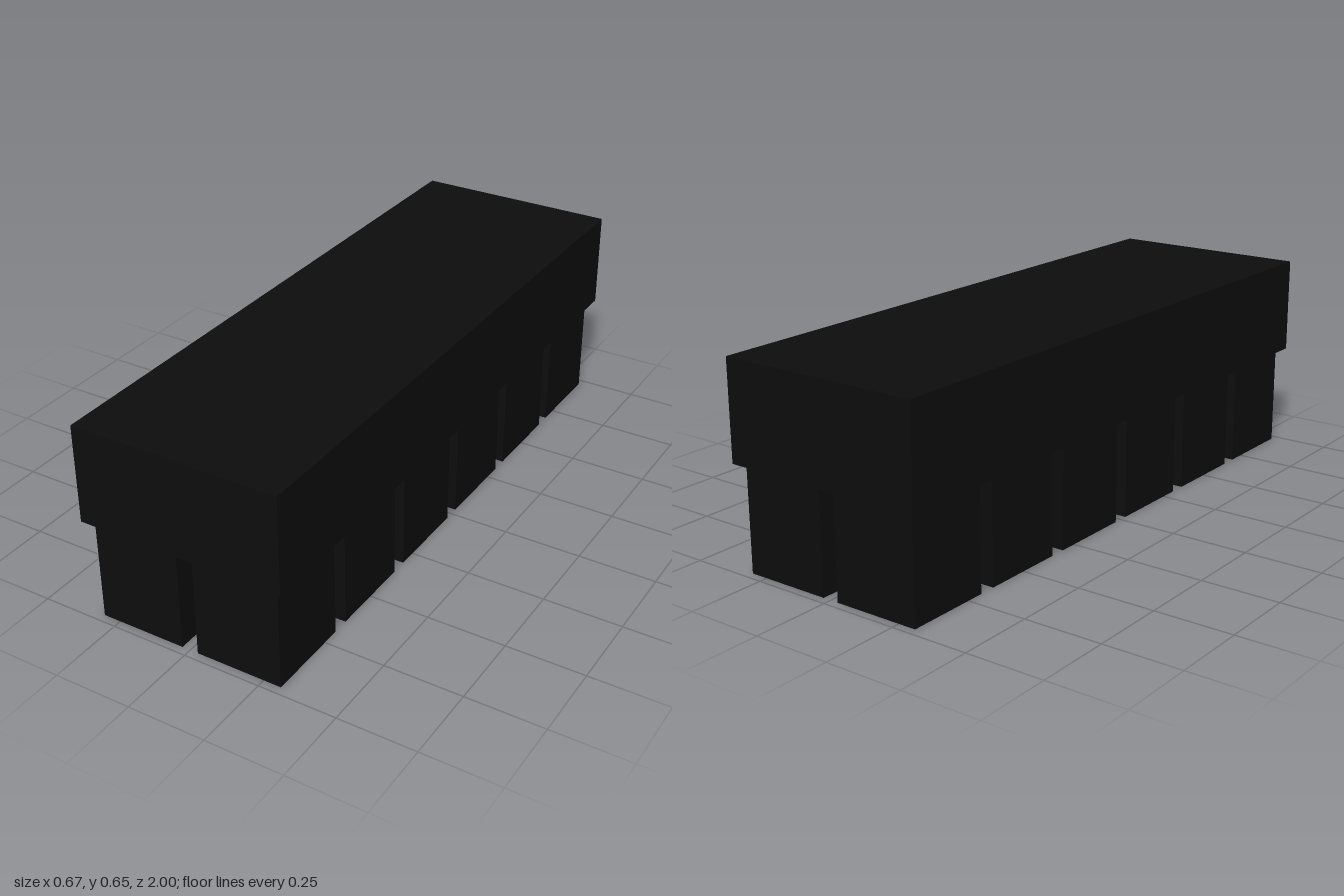
import * as THREE from 'three';

export function createModel() {
  const group = new THREE.Group();
  const black = new THREE.MeshStandardMaterial({ color: 0x0d0d0d });
  black.name = 'black plastic';

  const bottom = 0.335, top = 0.648, pitch = 1 / 3, blockSize = 0.28;

  // Solid upper housing
  const housing = new THREE.Mesh(
    new THREE.BoxGeometry(2 * pitch, top - bottom, 2), black);
  housing.name = 'housing';
  housing.position.y = (top + bottom) / 2;
  group.add(housing);

  // Two columns of six square blocks underneath
  const blocks = new THREE.Group();
  blocks.name = 'blocks';
  const blockGeometry = new THREE.BoxGeometry(blockSize, bottom, blockSize);
  for (let column = 0; column < 2; column++) {
    for (let row = 0; row < 6; row++) {
      const block = new THREE.Mesh(blockGeometry, black);
      block.name = 'block';
      block.position.set((column - 0.5) * pitch, bottom / 2, (row - 2.5) * pitch);
      blocks.add(block);
    }
  }
  group.add(blocks);

  return group;
}
